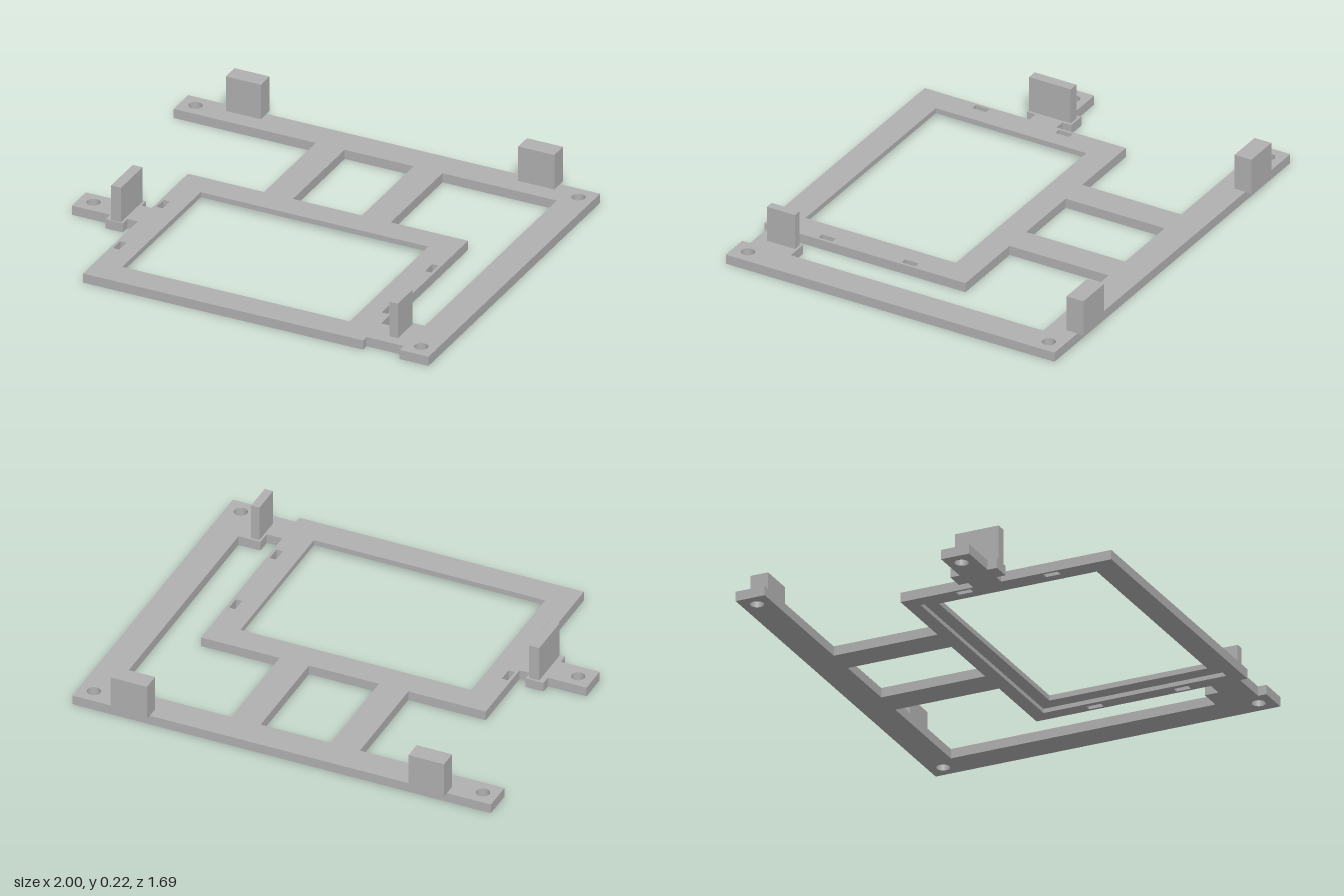
import * as THREE from 'three';

const T = 0.045;      // plate thickness
const RECESS = 0.02;  // depth of the ledge under the window

const rect = (x0, x1, z0, z1) => [[x0, z0], [x1, z0], [x1, z1], [x0, z1]];
const toPath = (pts) => new THREE.Path(pts.map(([x, z]) => new THREE.Vector2(x, z)));

// Outline of the whole bracket as [x, z]
const outline = [
  [-1, -0.82], [1, -0.82], [1, 0.84], [0.86, 0.84], [0.86, 0.8], [0.68, 0.8],
  [0.68, 0.835], [-0.68, 0.835], [-0.68, 0.305], [-0.73, 0.305], [-0.73, 0.35],
  [-0.815, 0.35], [-0.815, 0.305], [-1, 0.305], [-1, 0.17], [-0.815, 0.17],
  [-0.815, 0.125], [-0.73, 0.125], [-0.73, 0.17], [-0.68, 0.17], [-0.68, -0.18],
  [-0.31, -0.18], [-0.31, -0.68], [-1, -0.68],
];

// Opening between frame, back bar and side bar
const sideOpening = [
  [0.305, -0.68], [0.86, -0.68], [0.86, 0.595], [0.755, 0.595], [0.755, 0.66],
  [0.68, 0.66], [0.68, -0.18], [0.305, -0.18],
];

const screwHoles = [[-0.93, -0.75], [0.93, -0.75], [0.93, 0.77], [-0.93, 0.235]];

// One flat layer of the bracket, with the given window
function plateLayer(window, top, depth) {
  const shape = new THREE.Shape(outline.map(([x, z]) => new THREE.Vector2(x, z)));
  const openings = [window, sideOpening, rect(-0.17, 0.165, -0.68, -0.18)];
  for (const x of [-0.652, 0.652]) {
    for (const z of [0.08, 0.5]) openings.push(rect(x - 0.015, x + 0.015, z, z + 0.07));
  }
  shape.holes = openings.map(toPath);
  for (const [x, z] of screwHoles) {
    shape.holes.push(new THREE.Path().absarc(x, z, 0.031, 0, Math.PI * 2, true));
  }
  const geo = new THREE.ExtrudeGeometry(shape, { depth, bevelEnabled: false, curveSegments: 24 });
  return geo.rotateX(Math.PI / 2).translate(0, top, 0);
}

export function createModel() {
  const model = new THREE.Group();
  model.name = 'mountingBracket';
  const grey = new THREE.MeshStandardMaterial({ color: 0xb0b0b0 });
  grey.name = 'grey plastic';

  const add = (name, geo) => {
    const mesh = new THREE.Mesh(geo, grey);
    mesh.name = name;
    model.add(mesh);
  };

  // Plate: the lower layer has a wider window, leaving a ledge underneath
  add('upperPlate', plateLayer(rect(-0.555, 0.55, -0.055, 0.705), T, T - RECESS));
  add('lowerPlate', plateLayer(rect(-0.615, 0.615, -0.115, 0.765), RECESS, RECESS));

  // Upright clips
  const clips = {
    backRightClip: [-0.79, -0.62, -0.85, -0.765],
    backLeftClip: [0.63, 0.805, -0.85, -0.765],
    rightTabClip: [-0.79, -0.742, 0.135, 0.345],
    frontLeftClip: [0.765, 0.805, 0.607, 0.748],
  };
  const top = 0.215;
  for (const [name, [x0, x1, z0, z1]] of Object.entries(clips)) {
    const geo = new THREE.BoxGeometry(x1 - x0, top - T, z1 - z0);
    add(name, geo.translate((x0 + x1) / 2, (top + T) / 2, (z0 + z1) / 2));
  }
  return model;
}
